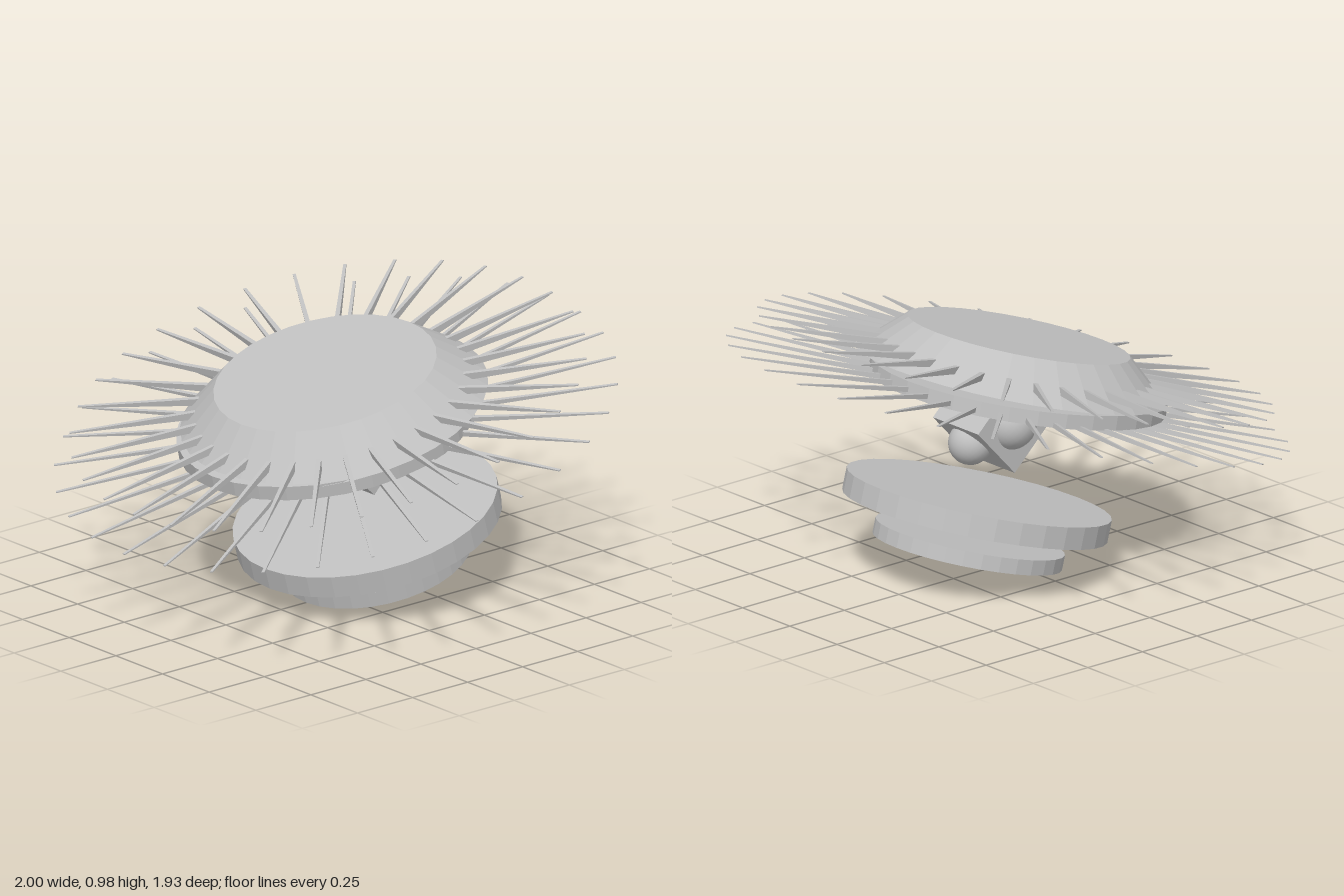
import * as THREE from 'three';

const TILT = 15;
const rad = THREE.MathUtils.degToRad;

export function createModel() {
  const model = new THREE.Group();
  const grey = new THREE.MeshStandardMaterial({ color: 0xc0c0c0 });
  grey.name = 'pale grey';

  // Group leaning towards the front by an angle in degrees
  function tilted(name, y, z, angle = TILT) {
    const g = new THREE.Group();
    g.name = name;
    g.position.set(0, y, z);
    g.rotation.x = rad(angle);
    model.add(g);
    return g;
  }

  function add(parent, name, geometry, x = 0, y = 0, z = 0) {
    const m = new THREE.Mesh(geometry, grey);
    m.name = name;
    m.position.set(x, y, z);
    parent.add(m);
    return m;
  }

  // Faceted disc or truncated cone
  function disc(rTop, rBottom, height) {
    const g = new THREE.CylinderGeometry(rTop, rBottom, height, 32).toNonIndexed();
    g.computeVertexNormals();
    return g;
  }

  // Thin blade running out along +z, narrowing to its tip
  function spike(inner, outer) {
    const g = new THREE.BoxGeometry(0.018, 0.03, outer - inner);
    g.translate(0, 0, (inner + outer) / 2);
    const p = g.attributes.position;
    for (let i = 0; i < p.count; i++) {
      if (p.getZ(i) > (inner + outer) / 2) {
        p.setX(i, p.getX(i) * 0.6);
        p.setY(i, p.getY(i) * 0.12);
      }
    }
    const flat = g.toNonIndexed();
    flat.computeVertexNormals();
    return flat;
  }

  function spikeRing(name, y, z, inner, outer) {
    const ring = tilted(name, y, z);
    const geometry = spike(inner, outer);
    for (let i = 0; i < 32; i++) {
      add(ring, 'spike', geometry).rotation.y = (i / 32) * Math.PI * 2;
    }
  }

  // Floating lower discs
  add(tilted('footDisc', 0.12, -0.18), 'footPlate', disc(0.335, 0.335, 0.054));
  add(tilted('baseDisc', 0.255, -0.142), 'basePlate', disc(0.469, 0.469, 0.08));

  // Upper body: sloped cap over a slightly less tilted plate
  add(tilted('cap', 0.7625, 0.032), 'capCone', disc(0.395, 0.55, 0.14));
  add(tilted('underPlate', 0.649, 0.047, 11.9), 'underDisc', disc(0.522, 0.522, 0.052));

  // Two fans of spikes
  spikeRing('lowerSpikes', 0.63, 0, 0.06, 0.998);
  spikeRing('upperSpikes', 0.744, 0.036, 0.42, 0.915);

  // Hub block standing on its edge, with balls on its faces
  const hub = tilted('hub', 0.56, -0.067, 47);
  add(hub, 'hubBlock', new THREE.BoxGeometry(0.24, 0.245, 0.245));
  for (const side of [-1, 1]) {
    add(hub, 'sideBall', new THREE.SphereGeometry(0.092, 24, 16), side * 0.09, 0, 0);
  }
  add(hub, 'rearBall', new THREE.SphereGeometry(0.078, 24, 16), 0, -0.125, -0.02);

  // Stepped square boss on the front face of the hub
  add(hub, 'frontBoss', new THREE.BoxGeometry(0.16, 0.16, 0.04), 0, 0, 0.125);
  add(hub, 'frontStep', new THREE.BoxGeometry(0.1, 0.1, 0.04), 0, 0, 0.14);

  return model;
}
